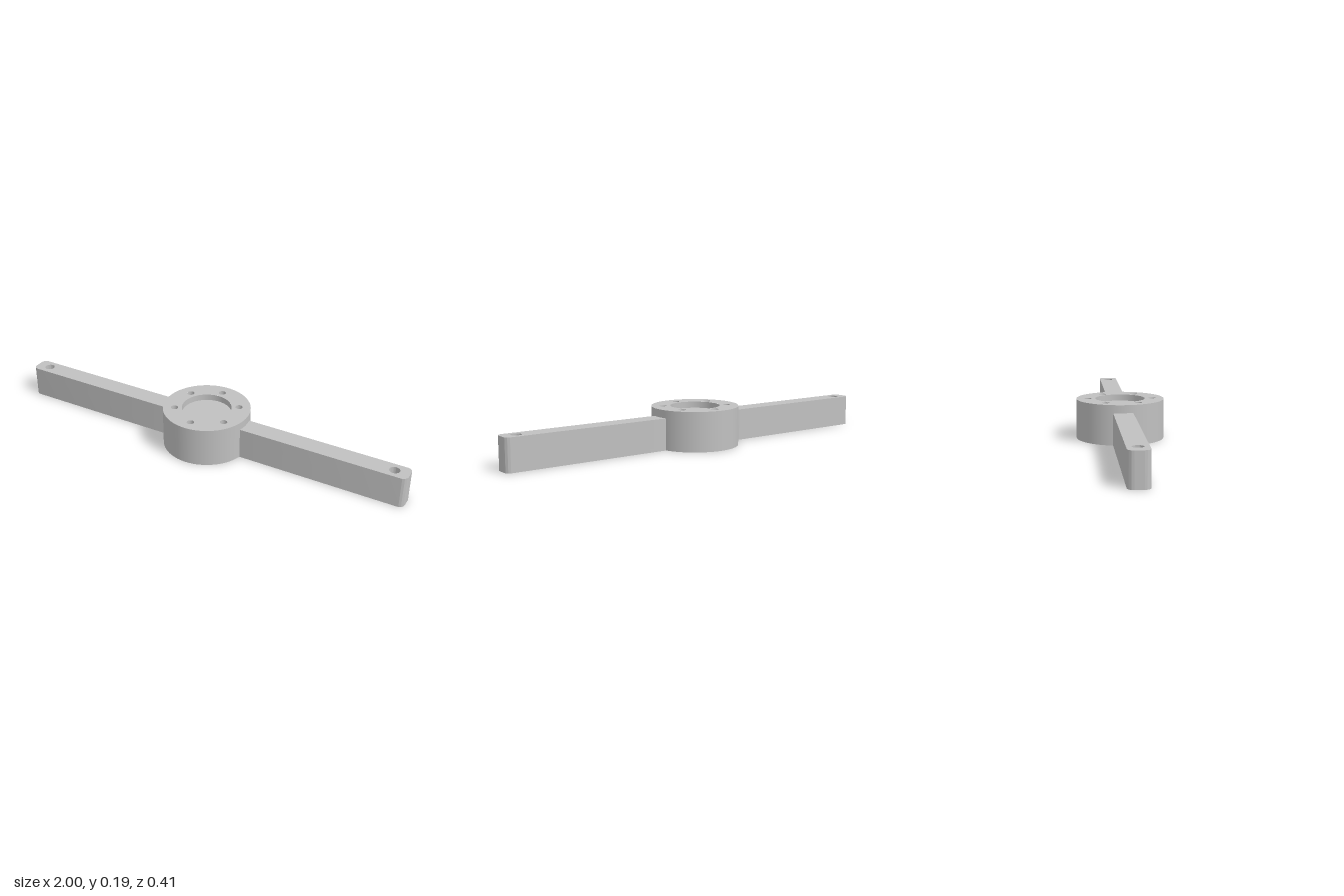
import * as THREE from 'three';
import { toCreasedNormals } from 'three/addons/utils/BufferGeometryUtils.js';

const HUB_R = 0.207, HUB_H = 0.187, RECESS_R = 0.117, FLOOR_Y = 0.157;
const BOLT_CIRCLE = 0.152, BOLT_R = 0.017;
const ARM_H = 0.15, ARM_W = 0.046, ARM_HOLE_X = 0.93, ARM_HOLE_R = 0.024;

export function createModel() {
  const model = new THREE.Group();
  model.name = 'hubWithArms';
  const metal = new THREE.MeshStandardMaterial({ color: 0xc0c0c0 });
  metal.name = 'grey metal';

  const add = (parent, name, geometry) => {
    const mesh = new THREE.Mesh(geometry, metal);
    mesh.name = name;
    parent.add(mesh);
    return mesh;
  };
  const circle = (x, y, r, Type = THREE.Path) => new Type().absarc(x, y, r, 0, Math.PI * 2, false);
  // Open round wall: rising profile faces outward, falling profile faces inward
  const wall = (r, y0, y1, n) =>
    new THREE.LatheGeometry([new THREE.Vector2(r, y0), new THREE.Vector2(r, y1)], n);

  // Hub: outer wall, shallow recess and pierced end faces
  const hub = new THREE.Group();
  hub.name = 'hub';
  model.add(hub);
  const bolts = [];
  for (let i = 0; i < 6; i++) {
    const a = Math.PI / 2 + (i * Math.PI) / 3;
    bolts.push([BOLT_CIRCLE * Math.cos(a), BOLT_CIRCLE * Math.sin(a)]);
  }
  const face = (holes) => {
    const s = circle(0, 0, HUB_R, THREE.Shape);
    s.holes.push(...holes, ...bolts.map(([x, y]) => circle(x, y, BOLT_R)));
    return new THREE.ShapeGeometry(s, 64);
  };
  add(hub, 'hubWall', wall(HUB_R, 0, HUB_H, 64));
  add(hub, 'hubTop', face([circle(0, 0, RECESS_R)]).rotateX(-Math.PI / 2).translate(0, HUB_H, 0));
  add(hub, 'hubBottom', face([]).rotateX(Math.PI / 2));
  add(hub, 'recessWall', wall(RECESS_R, HUB_H, FLOOR_Y, 64));
  add(hub, 'recessFloor', new THREE.CircleGeometry(RECESS_R, 64).rotateX(-Math.PI / 2).translate(0, FLOOR_Y, 0));
  for (const [x, z] of bolts) {
    add(hub, 'boltHole', wall(BOLT_R, HUB_H, 0, 24).translate(x, 0, z));
  }

  // Arm: rounded outer corners, inner end curved to meet the hub
  const r = 0.027, innerR = HUB_R - 0.002, a = Math.asin(ARM_W / innerR);
  const outline = new THREE.Shape();
  outline.moveTo(innerR * Math.cos(a), -ARM_W);
  outline.lineTo(1 - r, -ARM_W);
  outline.absarc(1 - r, -ARM_W + r, r, -Math.PI / 2, 0, false);
  outline.absarc(1 - r, ARM_W - r, r, 0, Math.PI / 2, false);
  outline.lineTo(innerR * Math.cos(a), ARM_W);
  outline.absarc(0, 0, innerR, a, -a, true);
  outline.holes.push(circle(ARM_HOLE_X, 0, ARM_HOLE_R));
  const arm = toCreasedNormals(
    new THREE.ExtrudeGeometry(outline, { depth: ARM_H, bevelEnabled: false, curveSegments: 20 }).rotateX(-Math.PI / 2),
    0.6
  );
  add(model, 'leftArm', arm);
  add(model, 'rightArm', arm).rotation.y = Math.PI;

  return model;
}
